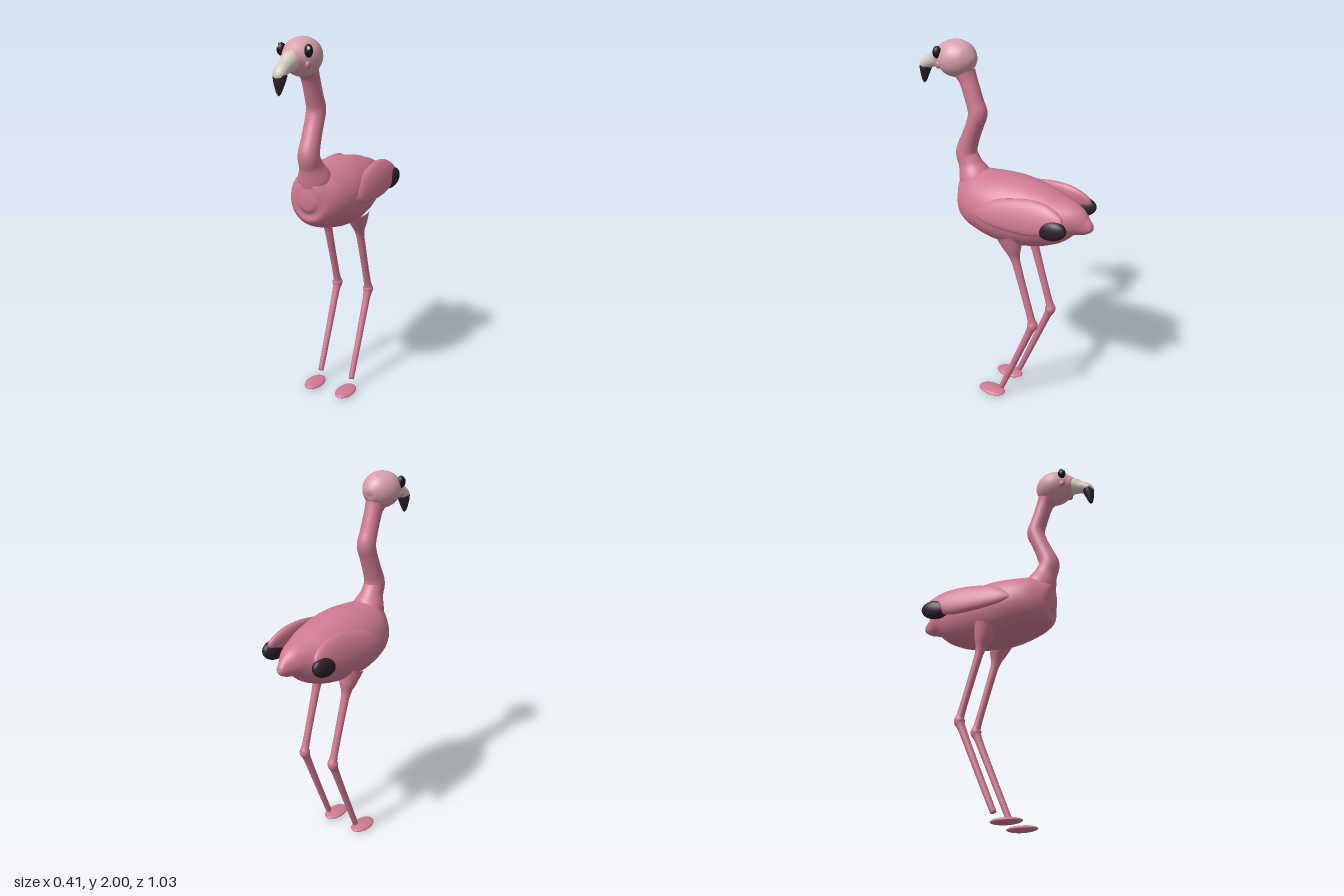
import * as THREE from 'three';

const mat = (name, color) => {
  const m = new THREE.MeshStandardMaterial({ color });
  m.name = name;
  return m;
};

// Smooth skin over elliptical sections [x, y, z, halfWidth, halfHeight]
function loft(sections, steps = 6, sides = 32) {
  const v = (a, b, c) => new THREE.Vector3(a, b, c);
  const path = new THREE.CatmullRomCurve3(sections.map(s => v(s[0], s[1], s[2])), false, 'catmullrom');
  const size = new THREE.CatmullRomCurve3(sections.map(s => v(s[3], s[4] ?? s[3], 0)), false, 'catmullrom');
  const rings = (sections.length - 1) * steps;
  const pos = [], index = [], X = v(1, 0, 0);
  for (let i = 0; i <= rings; i++) {
    const t = i / rings, c = path.getPoint(t), r = size.getPoint(t);
    const T = path.getTangent(t);
    T.x = 0;
    const N = T.normalize().clone().cross(X);
    for (let j = 0; j < sides; j++) {
      const a = j / sides * Math.PI * 2;
      const p = c.clone().addScaledVector(X, Math.max(r.x, 0) * Math.cos(a))
        .addScaledVector(N, Math.max(r.y, 0) * Math.sin(a));
      pos.push(p.x, p.y, p.z);
      if (i < rings) {
        const k = (j + 1) % sides, b = i * sides;
        index.push(b + j, b + k, b + sides + j, b + k, b + sides + k, b + sides + j);
      }
    }
  }
  const g = new THREE.BufferGeometry();
  g.setAttribute('position', new THREE.Float32BufferAttribute(pos, 3));
  g.setIndex(index);
  g.computeVertexNormals();
  return g;
}

export function createModel() {
  const group = new THREE.Group();
  const pink = mat('feather pink', 0xd07a92);
  const pale = mat('pale head pink', 0xd8a0ac);
  const cream = mat('beak cream', 0xd2c9be);
  const dark = mat('dark plum', 0x2e212c);
  const black = mat('eye black', 0x18141a);
  const white = mat('eye shine', 0xffffff);
  const blush = mat('cheek pink', 0xd4788c);

  const add = (name, geometry, material) => {
    const m = new THREE.Mesh(geometry, material);
    m.name = name;
    group.add(m);
    return m;
  };
  const ball = (name, material, p, r) => {
    const m = add(name, new THREE.SphereGeometry(1, 28, 18), material);
    m.position.set(...p);
    m.scale.set(...r);
    return m;
  };

  // Egg-shaped body with a pointed tail
  add('body', loft([
    [0, 1.16, -0.513, 0], [0, 1.16, -0.503, 0.02, 0.022], [0, 1.165, -0.47, 0.038, 0.05],
    [0, 1.18, -0.4, 0.085, 0.09], [0, 1.17, -0.3, 0.135, 0.14], [0, 1.163, -0.2, 0.165, 0.168],
    [0, 1.163, -0.1, 0.181, 0.183], [0, 1.167, 0, 0.188, 0.182], [0, 1.177, 0.1, 0.176, 0.167],
    [0, 1.19, 0.18, 0.145, 0.15], [0, 1.2, 0.235, 0.098, 0.115], [0, 1.2, 0.26, 0.048, 0.065],
    [0, 1.2, 0.268, 0],
  ], 6, 48), pink);

  // Kinked neck, flared where it meets the body
  add('neck', loft([
    [0, 1.22, 0.15, 0.1, 0.1], [0, 1.3, 0.19, 0.085, 0.085], [0, 1.36, 0.217, 0.06, 0.064],
    [0, 1.42, 0.238, 0.055, 0.057], [0, 1.5, 0.213, 0.051, 0.048], [0, 1.58, 0.182, 0.05, 0.046],
    [0, 1.64, 0.165, 0.05, 0.05], [0, 1.7, 0.182, 0.047, 0.046], [0, 1.8, 0.217, 0.046, 0.047],
    [0, 1.84, 0.236, 0.052, 0.055],
  ]), pink);

  // Head, tapering forward into the beak
  add('head', loft([
    [0, 1.9, 0.178, 0], [0, 1.902, 0.186, 0.036, 0.036], [0, 1.905, 0.215, 0.07, 0.072],
    [0, 1.907, 0.25, 0.089, 0.088], [0, 1.907, 0.29, 0.096, 0.094], [0, 1.904, 0.335, 0.085, 0.085],
    [0, 1.898, 0.375, 0.06, 0.062], [0, 1.893, 0.4, 0.042, 0.045], [0, 1.89, 0.41, 0],
  ], 6, 40), pale);
  add('beak', loft([
    [0, 1.905, 0.36, 0.055, 0.05], [0, 1.893, 0.4, 0.045, 0.047], [0, 1.878, 0.435, 0.037, 0.036],
    [0, 1.863, 0.467, 0.035, 0.031], [0, 1.845, 0.487, 0.033, 0.027], [0, 1.83, 0.489, 0.022, 0.02],
    [0, 1.82, 0.489, 0],
  ]), cream);
  add('beakTip', loft([
    [0, 1.858, 0.478, 0], [0, 1.848, 0.48, 0.032, 0.029], [0, 1.83, 0.484, 0.033, 0.029],
    [0, 1.8, 0.489, 0.025, 0.022], [0, 1.765, 0.493, 0.012, 0.012], [0, 1.75, 0.494, 0],
  ]), dark);

  for (const s of [1, -1]) {
    const side = s > 0 ? 'left' : 'right';

    // Eye, highlight and cheek
    ball(side + 'Eye', black, [s * 0.074, 1.943, 0.352], [0.02, 0.031, 0.023]).rotation.y = s * 0.6;
    ball(side + 'EyeShine', white, [s * 0.084, 1.956, 0.367], [0.007, 0.008, 0.007]);
    ball(side + 'Cheek', blush, [s * 0.07, 1.88, 0.35], [0.014, 0.019, 0.019]);

    // Folded wing, its top leaning in over the back
    const wing = loft([
      [s * 0.16, 1.22, -0.425, 0], [s * 0.16, 1.22, -0.405, 0.018, 0.035],
      [s * 0.16, 1.222, -0.33, 0.033, 0.072], [s * 0.161, 1.217, -0.25, 0.038, 0.087],
      [s * 0.166, 1.21, -0.15, 0.036, 0.084], [s * 0.17, 1.2, -0.05, 0.031, 0.07],
      [s * 0.17, 1.185, 0.03, 0.022, 0.045], [s * 0.165, 1.175, 0.1, 0],
    ]);
    const p = wing.attributes.position;
    for (let i = 0; i < p.count; i++) p.setX(i, p.getX(i) - s * (p.getY(i) - 1.2) * 0.25);
    wing.computeVertexNormals();
    add(side + 'Wing', wing, pink);
    const tip = ball(side + 'WingTip', dark, [s * 0.166, 1.183, -0.365], [0.036, 0.053, 0.083]);
    tip.rotation.x = 0.2;

    // Thin leg with a backward knee, and a flat foot
    add(side + 'Leg', loft([
      [s * 0.1, 1.06, -0.085, 0.07], [s * 0.1, 0.985, -0.108, 0.046], [s * 0.1, 0.93, -0.122, 0.026],
      [s * 0.1, 0.85, -0.146, 0.021], [s * 0.1, 0.6, -0.221, 0.02], [s * 0.1, 0.55, -0.233, 0.029],
      [s * 0.1, 0.5, -0.215, 0.021], [s * 0.1, 0.3, -0.135, 0.018], [s * 0.1, 0.085, -0.047, 0.016],
      [s * 0.1, 0.068, -0.04, 0.012], [s * 0.1, 0.06, -0.037, 0],
    ], 6, 20), pink);
    ball(side + 'Foot', pink, [s * 0.1, 0.018, 0.028], [0.051, 0.016, 0.083]);
  }
  return group;
}
